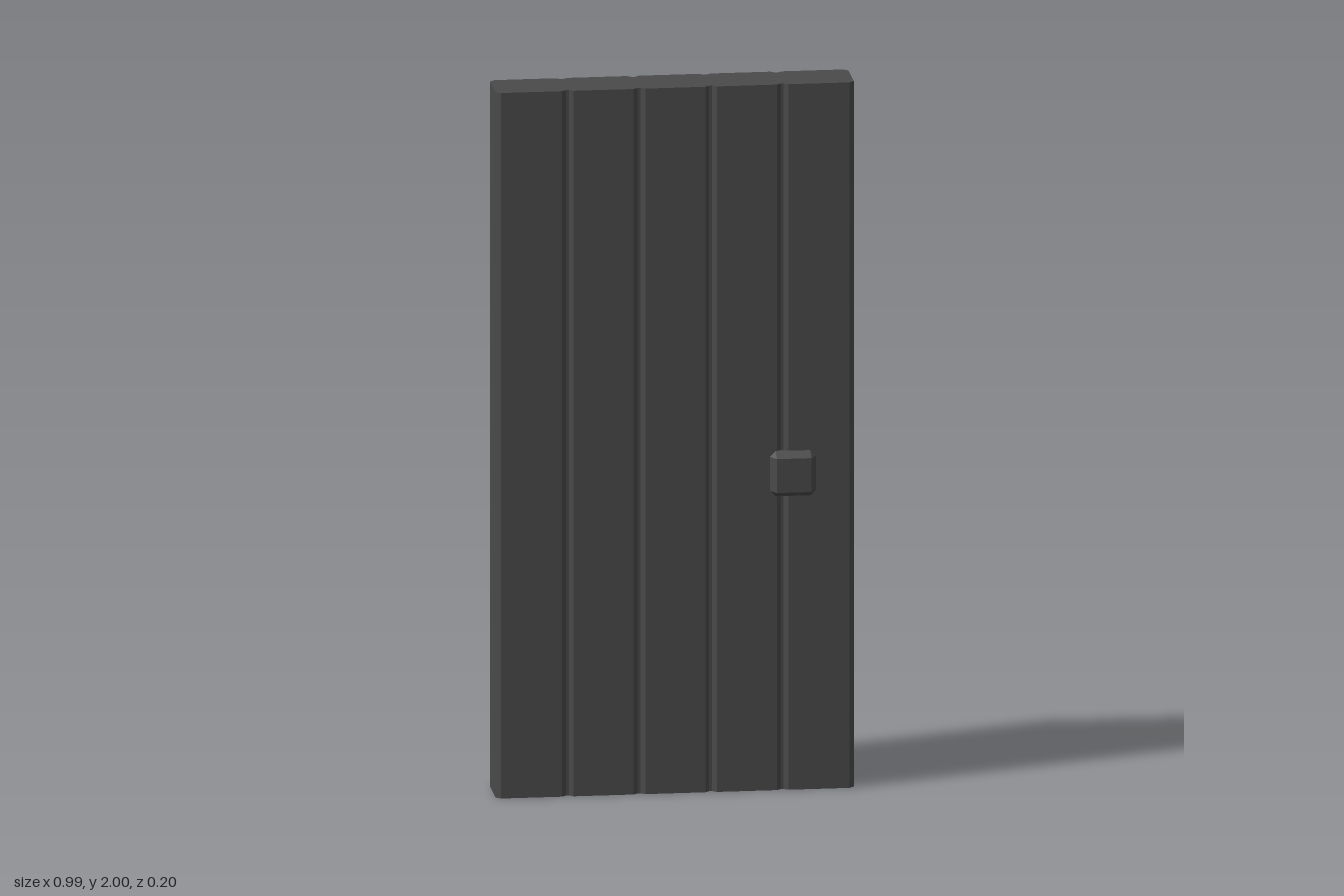
import * as THREE from 'three';
import { ConvexGeometry } from 'three/addons/geometries/ConvexGeometry.js';

const HALF_W = 0.496, HALF_D = 0.073, HEIGHT = 2, PLANKS = 5;

// Plank slab: cross-section with chamfered ends and a groove at every plank joint
function slabGeometry() {
  const depth = 0.013, plank = (2 * HALF_W) / PLANKS;
  const face = [[-HALF_W, HALF_D - depth], [-HALF_W + depth, HALF_D]];
  for (let i = 1; i < PLANKS; i++) {
    const x = -HALF_W + i * plank;
    face.push([x - 0.016, HALF_D], [x - 0.004, HALF_D - 0.011],
      [x + 0.004, HALF_D - 0.011], [x + 0.016, HALF_D]);
  }
  face.push([HALF_W - depth, HALF_D], [HALF_W, HALF_D - depth]);
  const outline = [...face, ...face.map(([x, z]) => [x, -z]).reverse()];
  const shape = new THREE.Shape(outline.map(([x, z]) => new THREE.Vector2(x, z)));
  const geometry = new THREE.ExtrudeGeometry(shape, { depth: HEIGHT, bevelEnabled: false });
  return geometry.rotateX(-Math.PI / 2);
}

// Knob: block with bevelled edges and cut corners
function knobGeometry() {
  const outer = 0.064, inner = 0.048, length = 0.04, points = [];
  for (const sx of [-1, 1]) {
    for (const sy of [-1, 1]) {
      points.push(new THREE.Vector3(sx * inner, sy * inner, length));
      for (const z of [0, length - 0.027]) {
        points.push(new THREE.Vector3(sx * outer, sy * inner, z));
        points.push(new THREE.Vector3(sx * inner, sy * outer, z));
      }
    }
  }
  return new ConvexGeometry(points);
}

export function createModel() {
  const model = new THREE.Group();
  model.name = 'door';
  const darkGrey = new THREE.MeshStandardMaterial({ color: 0x4a4a4a });
  darkGrey.name = 'dark grey';

  const slab = new THREE.Mesh(slabGeometry(), darkGrey);
  slab.name = 'plankSlab';
  model.add(slab);

  // One knob on each side of the door
  const geometry = knobGeometry();
  for (const side of [1, -1]) {
    const knob = new THREE.Mesh(geometry, darkGrey);
    knob.name = side > 0 ? 'frontKnob' : 'backKnob';
    knob.position.set(0.326, 0.897, side * 0.06);
    if (side < 0) knob.rotation.y = Math.PI;
    model.add(knob);
  }
  return model;
}
